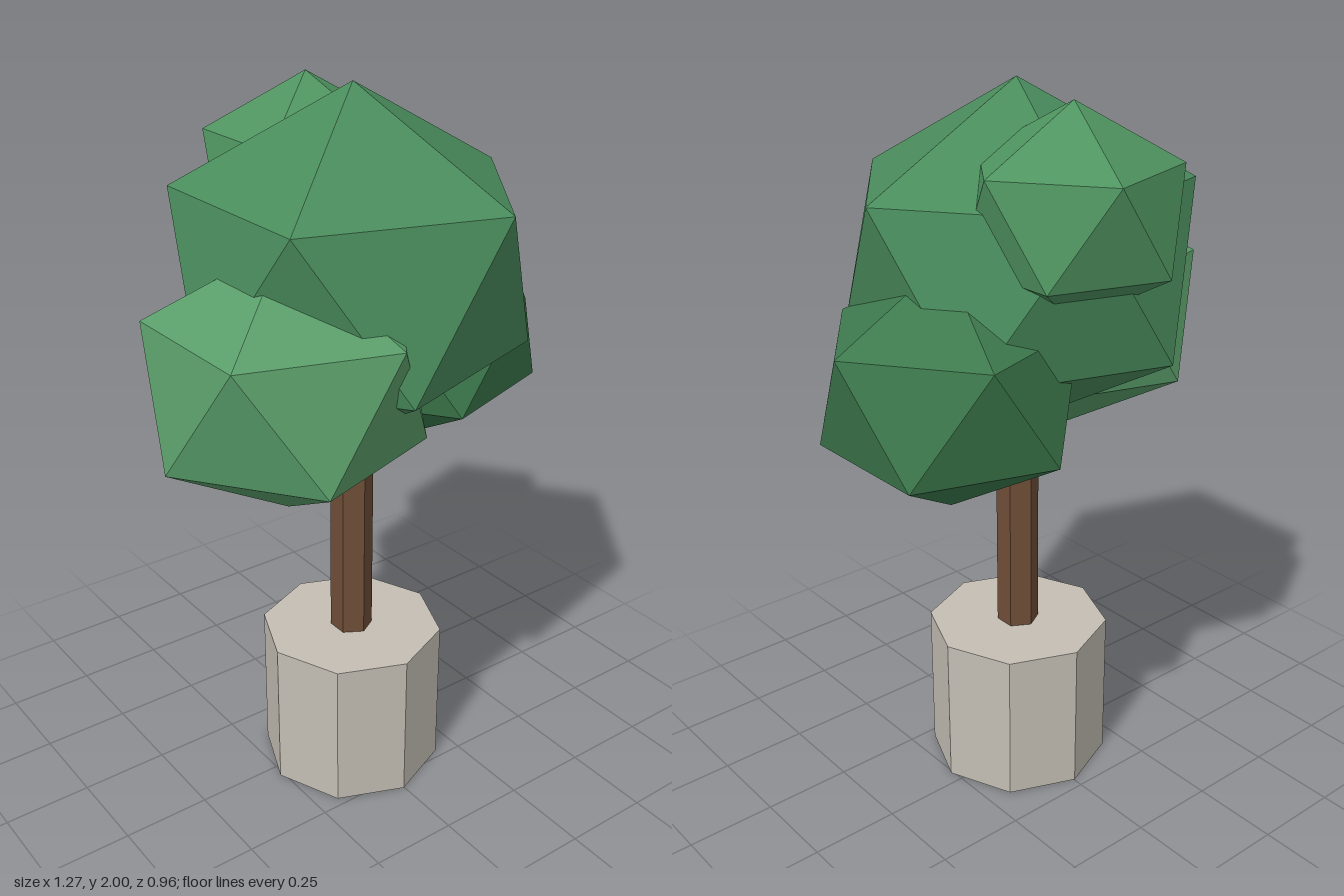
import * as THREE from 'three';

const material = (color) => new THREE.MeshStandardMaterial({ color, flatShading: true });

// Icosahedron standing on one corner, with an upper-ring corner facing +x
function uprightIcosahedron(radius) {
  const golden = (1 + Math.sqrt(5)) / 2;
  return new THREE.IcosahedronGeometry(radius, 0)
    .rotateX(-Math.atan(golden))
    .rotateY(Math.PI / 2);
}

export function createModel() {
  const model = new THREE.Group();
  model.name = 'pottedTree';

  // Straight prism from y0 to y1 on the tree's axis
  const addPrism = (name, radius, y0, y1, sides, color) => {
    const geometry = new THREE.CylinderGeometry(radius, radius, y1 - y0, sides);
    const mesh = new THREE.Mesh(geometry, material(color));
    mesh.name = name;
    mesh.position.set(-0.002, (y0 + y1) / 2, 0.04);
    model.add(mesh);
  };

  addPrism('pot', 0.26, 0, 0.44, 8, 0xc4beb4);
  addPrism('trunk', 0.06, 0.44, 1.3, 6, 0x6f4e37);

  // Slightly flattened leaf clumps: name, radius, centre, colour
  const clumps = [
    ['mainFoliage', 0.52, [0, 1.532, 0.037], 0x4a8c5c],
    ['leftFoliage', 0.37, [0.302, 1.272, -0.053], 0x3d7a4d],
    ['rightFoliage', 0.395, [-0.28, 1.316, 0.14], 0x5a9e6a],
    ['rearFoliage', 0.305, [0.042, 1.706, -0.225], 0x4f9460],
  ];
  for (const [name, radius, centre, color] of clumps) {
    const mesh = new THREE.Mesh(uprightIcosahedron(radius), material(color));
    mesh.name = name;
    mesh.position.set(...centre);
    mesh.scale.y = 0.9;
    model.add(mesh);
  }

  return model;
}
